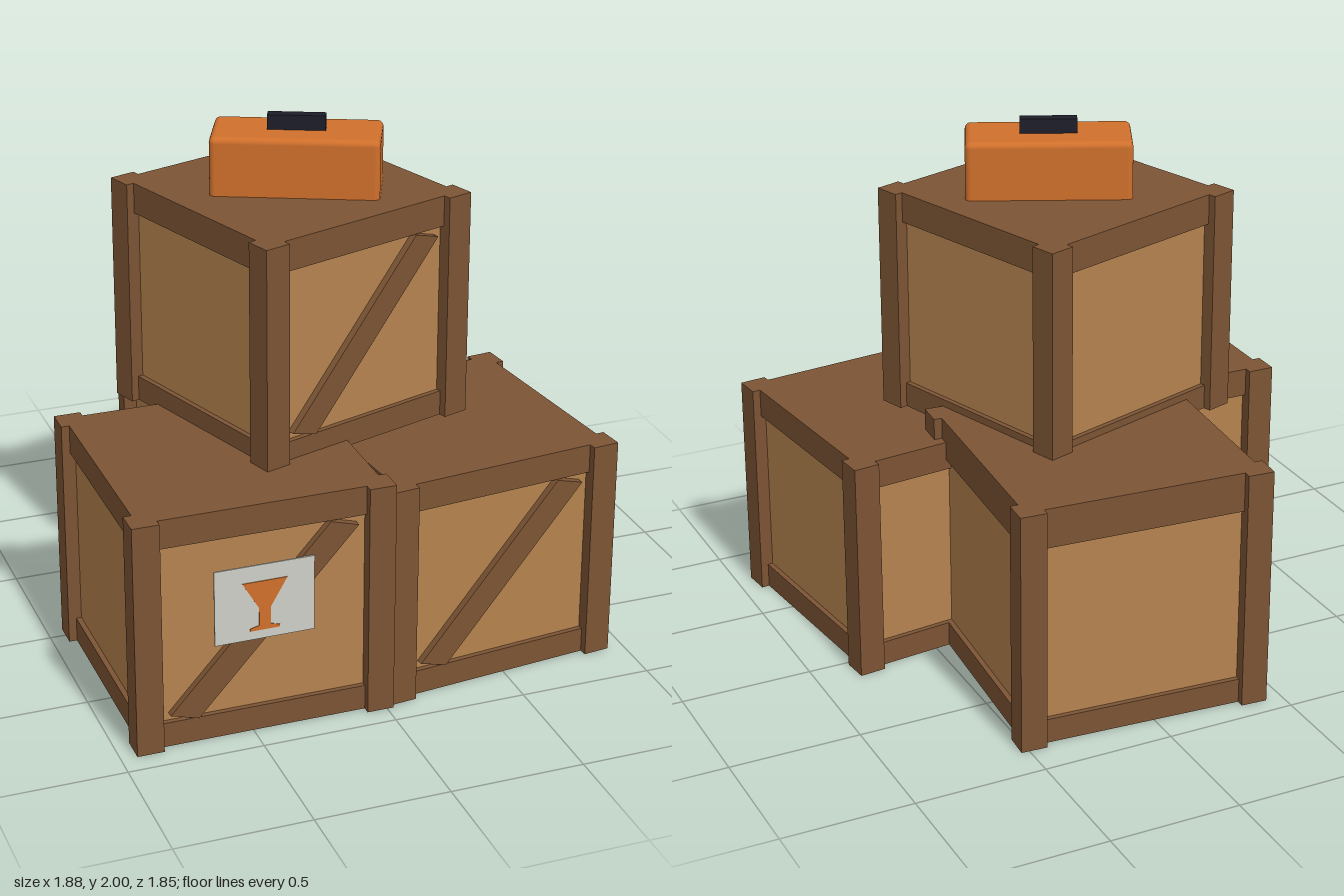
import * as THREE from 'three';
import { RoundedBoxGeometry } from 'three/addons/geometries/RoundedBoxGeometry.js';

const mat = (name, color) => {
  const m = new THREE.MeshStandardMaterial({ color });
  m.name = name;
  return m;
};

export function createModel() {
  const frameWood = mat('frame wood', 0x7c5434);
  const panelWood = mat('panel wood', 0xb5834f);
  const orange = mat('orange', 0xd0702c);
  const black = mat('handle black', 0x1e1e2a);
  const paper = mat('label paper', 0xcfcfc8);

  const add = (parent, name, geometry, material, x = 0, y = 0, z = 0) => {
    const mesh = new THREE.Mesh(geometry, material);
    mesh.name = name;
    mesh.position.set(x, y, z);
    parent.add(mesh);
    return mesh;
  };
  const plate = (points, depth) => new THREE.ExtrudeGeometry(
    new THREE.Shape(points.map(([x, y]) => new THREE.Vector2(x, y))),
    { depth, bevelEnabled: false });

  // Crate: recessed panels, rail slabs, protruding corner posts, front brace
  const POST = 0.1, BOTTOM = 0.095;
  function crate(name, size, height, topRail, x, y, z, turn) {
    const g = new THREE.Group();
    g.name = name;
    const half = size / 2, rail = size - 0.06, panel = size - 0.1;
    const top = height - topRail;
    add(g, 'panels', new THREE.BoxGeometry(panel, top - BOTTOM, panel), panelWood, 0, (top + BOTTOM) / 2);
    add(g, 'bottomRails', new THREE.BoxGeometry(rail, BOTTOM, rail), frameWood, 0, BOTTOM / 2);
    add(g, 'lidRails', new THREE.BoxGeometry(rail, topRail, rail), frameWood, 0, height - topRail / 2);
    for (const sx of [-1, 1]) for (const sz of [-1, 1]) {
      add(g, 'cornerPost', new THREE.BoxGeometry(POST, height, POST), frameWood,
        sx * (half - POST / 2), height / 2, sz * (half - POST / 2));
    }
    const w = half - 0.132;
    add(g, 'diagonalBrace', plate([
      [-w, BOTTOM + 0.03], [0.104 - w, BOTTOM], [w, top - 0.03], [w - 0.104, top],
    ], 0.03), frameWood, 0, 0, half - 0.052);
    g.position.set(x, y, z);
    g.rotation.y = turn;
    return g;
  }

  const model = new THREE.Group();
  model.name = 'crateStack';
  const labelled = crate('rightCrate', 0.965, 0.892, 0.11, -0.458, 0, 0.435, 0);
  model.add(
    labelled,
    crate('leftCrate', 0.92, 0.853, 0.11, 0.43, 0, 0.393, 0.11),
    crate('backCrate', 0.968, 0.935, 0.152, 0.015, 0, -0.415, -0.067),
    crate('topCrate', 0.925, 0.858, 0.115, -0.065, 0.868, 0.08, 0.314),
  );

  // Fragile label with a goblet sign
  add(labelled, 'label', new THREE.BoxGeometry(0.37, 0.29, 0.006), paper, -0.002, 0.52, 0.464);
  const side = [[0.055, 0.41], [0.055, 0.42], [0.022, 0.428], [0.022, 0.497], [0.083, 0.602]];
  const goblet = [...side, ...side.map(([x, y]) => [-x, y]).reverse()];
  add(labelled, 'gobletSign', plate(goblet, 0.003), orange, -0.002, 0, 0.467);

  // Toolbox with handle on the top crate
  const toolbox = new THREE.Group();
  toolbox.name = 'toolbox';
  add(toolbox, 'toolboxBody', new RoundedBoxGeometry(0.61, 0.24, 0.26, 3, 0.022), orange, 0, 0.1);
  add(toolbox, 'toolboxHandle', new THREE.BoxGeometry(0.21, 0.065, 0.042), black, 0, 0.2425);
  toolbox.position.set(-0.045, 1.725, 0.1);
  toolbox.rotation.y = -0.427;
  model.add(toolbox);

  return model;
}
